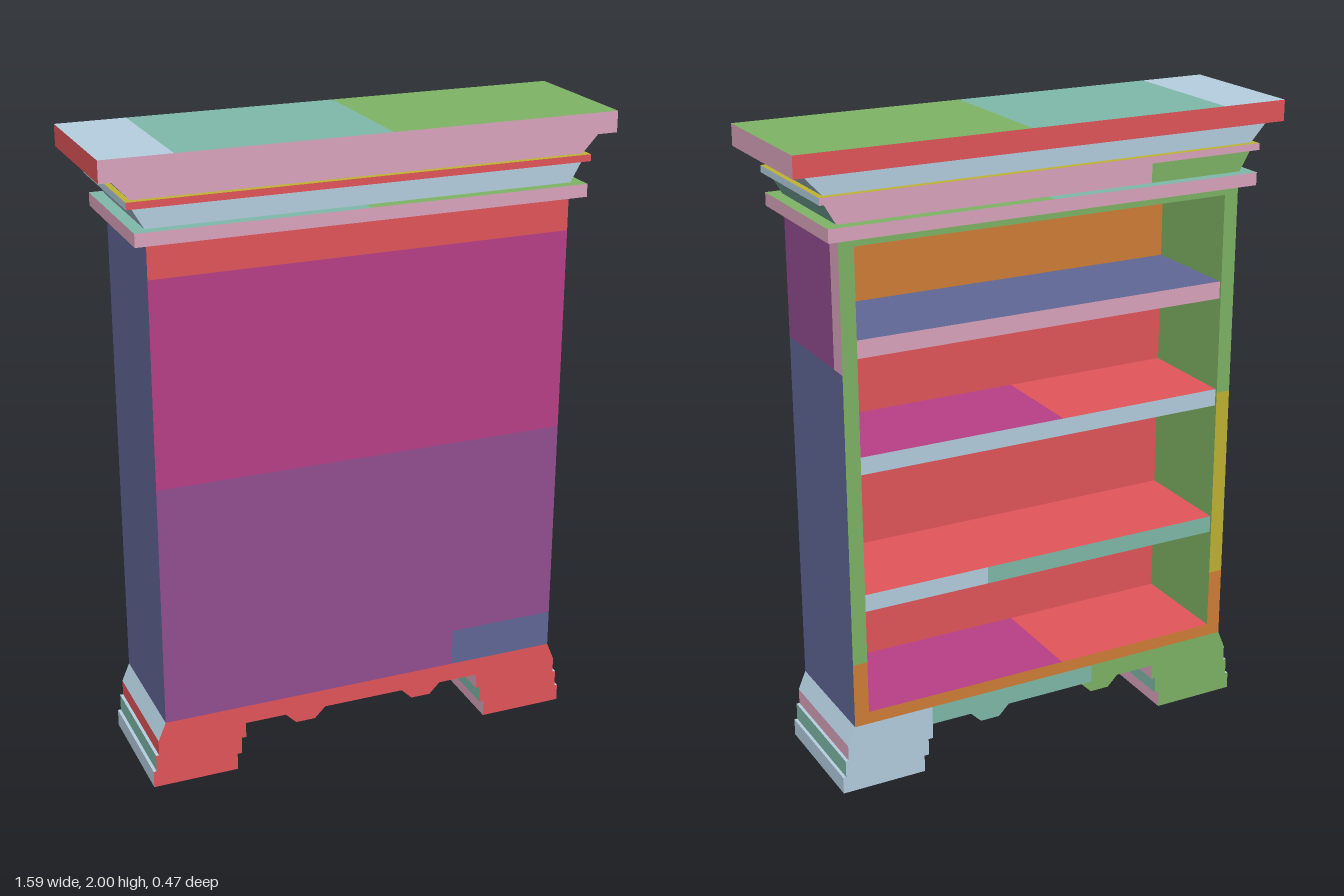
import * as THREE from 'three';

const COLORS = {
  R: ['red', 0xe4565b], M: ['magenta', 0xba4089], V: ['purple', 0x944e91], B: ['slateBlue', 0x626898],
  L: ['paleBlue', 0xb6d0e1], T: ['teal', 0x80bbaa], G: ['green', 0x80b566], Y: ['olive', 0xc0b432],
  O: ['orange', 0xd27f38], P: ['pink', 0xdda6bf],
};

export function createModel() {
  const model = new THREE.Group();
  model.name = 'bookcase';
  const mats = {};
  for (const [key, [name, color]] of Object.entries(COLORS)) {
    mats[key] = new THREE.MeshStandardMaterial({ color });
    mats[key].name = name;
  }

  function part(name) {
    const g = new THREE.Group();
    g.name = name;
    model.add(g);
    return g;
  }

  // Box from its limits; faces = colour letters for +x -x +y -y +z -z, '.' leaves a face out.
  // t0 and t1 shift the top edges of the -x and +x ends, for sloped mouldings.
  function box(group, [x0, x1], [y0, y1], [z0, z1], faces, t0 = 0, t1 = 0) {
    const geo = new THREE.BoxGeometry(x1 - x0, y1 - y0, z1 - z0);
    geo.translate((x0 + x1) / 2, (y0 + y1) / 2, (z0 + z1) / 2);
    const pos = geo.attributes.position;
    const mid = (x0 + x1) / 2;
    for (let i = 0; i < pos.count; i++) {
      if (pos.getY(i) > (y0 + y1) / 2) pos.setX(i, pos.getX(i) + (pos.getX(i) < mid ? t0 : t1));
    }
    geo.computeVertexNormals();
    geo.groups = geo.groups.filter((g) => faces[g.materialIndex] !== '.');
    const mesh = new THREE.Mesh(geo, [...faces].map((f) => mats[f] || mats.R));
    mesh.name = group.name + 'Section';
    group.add(mesh);
  }

  const W = 0.613;             // half width of the open compartment
  const Z = 0.148;             // inner face of the front panel
  const D = [-0.2, 0.2];       // full depth
  const IN = [-0.2, Z];        // depth behind the closed front panel
  const FR = [Z, 0.2];         // front panel

  // Closed front panel, in bands of colour
  const front = part('frontPanel');
  box(front, [-0.66, 0.31], [0.22, 0.34], FR, '.B..VR');
  box(front, [0.31, 0.66], [0.22, 0.34], FR, 'B...BR');
  box(front, [-0.66, 0.66], [0.34, 1.0], FR, 'BB..VR');
  box(front, [-0.66, 0.66], [1.0, 1.35], FR, 'BB..MR');
  box(front, [-0.66, 0.66], [1.35, 1.64], FR, 'VB..MO');
  box(front, [-0.66, 0.66], [1.64, 1.75], FR, 'VB..RO');

  // Left side (+x)
  const left = part('leftSide');
  const LX = [W, 0.66];
  box(left, LX, [0.22, 0.43], IN, 'BO...O');
  box(left, LX, [0.43, 1.05], IN, 'BO...G');
  box(left, LX, [1.05, 1.35], IN, 'BY...G');
  box(left, LX, [1.35, 1.75], [-0.2, -0.14], 'PY...G');
  box(left, LX, [1.35, 1.75], [-0.14, Z], 'VY....');

  // Right side (-x)
  const right = part('rightSide');
  const RX = [-0.66, -W];
  box(right, RX, [0.22, 0.45], IN, 'GB...O');
  box(right, RX, [0.45, 1.08], IN, 'GB...Y');
  box(right, RX, [1.08, 1.75], IN, 'GB...G');

  // Top and bottom boards of the open compartment
  const top = part('topBoard');
  box(top, [-W, -0.06], [1.72, 1.75], IN, '...L.G');
  box(top, [-0.06, W], [1.72, 1.75], IN, '...T.G');
  const bottom = part('bottomBoard');
  box(bottom, [-W, -0.06], [0.22, 0.26], IN, '..R..O');
  box(bottom, [-0.06, W], [0.22, 0.26], IN, '..M..O');

  // Shelves: top height, then [x range, top + underside + edge colours]
  const shelves = [
    [0.65, [[-W, -0.06], 'RGT'], [[-0.06, 0.2], 'RYT'], [[0.2, W], 'RYL']],
    [1.09, [[-W, -0.06], 'RPL'], [[-0.06, W], 'MBL']],
    [1.445, [[-W, W], 'BRP']],
  ];
  const shelfGroup = part('shelf');
  for (const [y, ...pieces] of shelves) {
    for (const [xr, [up, down, edge]] of pieces) {
      box(shelfGroup, xr, [y - 0.055, y], [-0.193, Z], `..${up}${down}.${edge}`);
    }
  }

  // Crown: flat slabs with sloped coves between them
  const lowSlab = part('lowerCrownSlab');
  box(lowSlab, [-0.702, 0], [1.748, 1.788], [-0.235, 0.235], '.PTBPP');
  box(lowSlab, [0, 0.702], [1.748, 1.788], [-0.235, 0.235], 'P.GBPP');
  const lowCove = part('lowerCove');
  box(lowCove, [-0.663, -0.35], [1.788, 1.852], D, '.L..LG', -0.037, 0);
  box(lowCove, [-0.35, 0.663], [1.788, 1.852], D, 'T...LP', 0, 0.037);
  box(part('crownBead'), [-0.718, 0.718], [1.852, 1.873], [-0.22, 0.22], 'LLYBRP');
  box(part('upperCove'), [-0.7, 0.7], [1.873, 1.935], D, 'LL..PL', -0.058, 0.058);
  const slab = part('topSlab');
  const SY = [1.935, 2], SZ = [-0.232, 0.232];
  box(slab, [-0.795, -0.58], SY, SZ, '.RLBPR');
  box(slab, [-0.58, 0.07], SY, SZ, '..TBPR');
  box(slab, [0.07, 0.795], SY, SZ, 'P.GBPR');

  // Base rail, flared at both ends
  const rail = part('baseRail');
  const BY = [0.16, 0.22];
  box(rail, [-0.685, -0.4], BY, D, '.L..RG', 0.025, 0);
  box(rail, [-0.4, -0.17], BY, D, '...YRG');
  box(rail, [-0.17, 0.2], BY, D, '...BRT');
  box(rail, [0.2, 0.4], BY, D, '...GRT');
  box(rail, [0.4, 0.685], BY, D, 'L...RL', 0, -0.025);

  // Stepped feet: [inner x, outer x, bottom y, top y, left colour, right colour]
  const steps = [
    [0.4, 0.685, 0.11, 0.16, 'P', 'R'],
    [0.415, 0.695, 0.055, 0.11, 'T', 'T'],
    [0.43, 0.705, 0, 0.055, 'L', 'L'],
  ];
  const leftFoot = part('leftFoot'), rightFoot = part('rightFoot');
  for (const [a, b, y0, y1, l, r] of steps) {
    const inner = l === 'T' ? 'T' : 'P';
    box(leftFoot, [a, b], [y0, y1], D, `${l}${inner}LBRL`);
    box(rightFoot, [-b, -a], [y0, y1], D, `${inner}${r}LBRG`);
  }

  // Small wedge drops under the rail
  const drops = part('railDrop');
  for (const [x, back] of [[-0.2, 'G'], [0.2, 'T']]) {
    box(drops, [x - 0.032, x + 0.032], [0.125, 0.16], D, `PP.BR${back}`, -0.035, 0.035);
  }
  return model;
}
